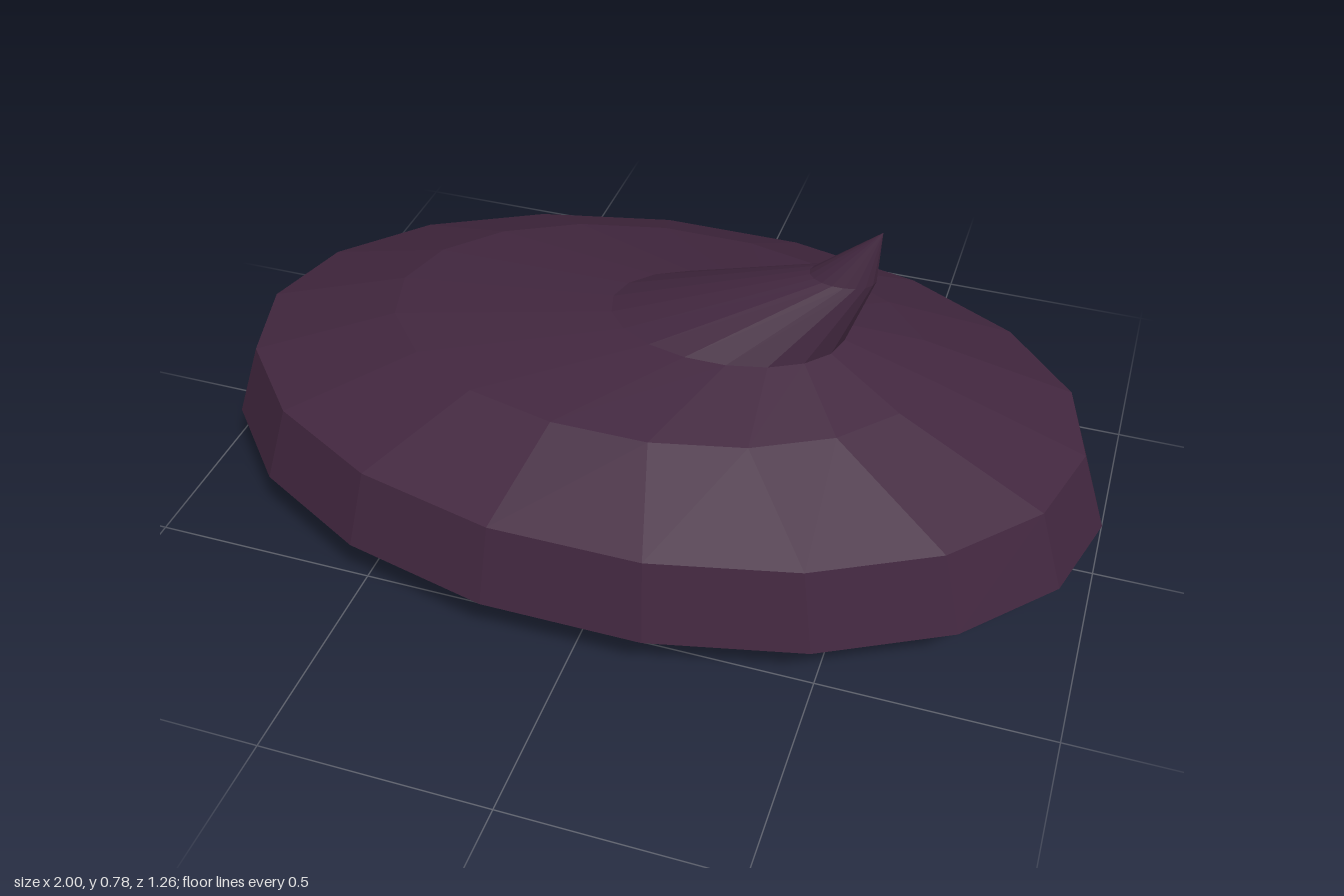
import * as THREE from 'three';

const SIDES = 18;

// Lofts elliptical rings [y, centreX, radiusX, radiusZ] from bottom to top
function loft(rings, capBottom) {
  const positions = [];
  const index = [];
  for (const [y, cx, rx, rz] of rings) {
    for (let i = 0; i < SIDES; i++) {
      const t = (i / SIDES) * Math.PI * 2;
      positions.push(cx + rx * Math.cos(t), y, rz * Math.sin(t));
    }
  }
  for (let r = 0; r < rings.length - 1; r++) {
    for (let i = 0; i < SIDES; i++) {
      const j = (i + 1) % SIDES;
      const a = r * SIDES + i, b = r * SIDES + j;
      const c = a + SIDES, d = b + SIDES;
      index.push(a, c, b);
      if (rings[r + 1][2] > 0) index.push(b, c, d);
    }
  }
  if (capBottom) {
    for (let i = 1; i < SIDES - 1; i++) index.push(0, i, i + 1);
  }
  const indexed = new THREE.BufferGeometry();
  indexed.setAttribute('position', new THREE.Float32BufferAttribute(positions, 3));
  indexed.setIndex(index);
  const geometry = indexed.toNonIndexed();
  geometry.computeVertexNormals();
  return geometry;
}

export function createModel() {
  const group = new THREE.Group();
  const plum = new THREE.MeshStandardMaterial({ color: 0x42273f, flatShading: true });
  plum.name = 'dark plum';

  // Oval body: flat underside, flared lower edge, upright rim and shallow dome
  const body = new THREE.Mesh(loft([
    [0, 0, 0.68, 0.437],
    [0.14, 0, 1, 0.64],
    [0.32, 0, 0.94, 0.602],
    [0.44, 0, 0.6, 0.385],
    [0.5, 0.157, 0.257, 0.165],
  ], true), plum);
  body.name = 'body';

  // Swept horn rising off-centre from the dome
  const horn = new THREE.Mesh(loft([
    [0.5, 0.157, 0.257, 0.165],
    [0.66, 0.4, 0.07, 0.045],
    [0.78, 0.475, 0, 0],
  ], false), plum);
  horn.name = 'horn';

  group.add(body, horn);
  return group;
}
